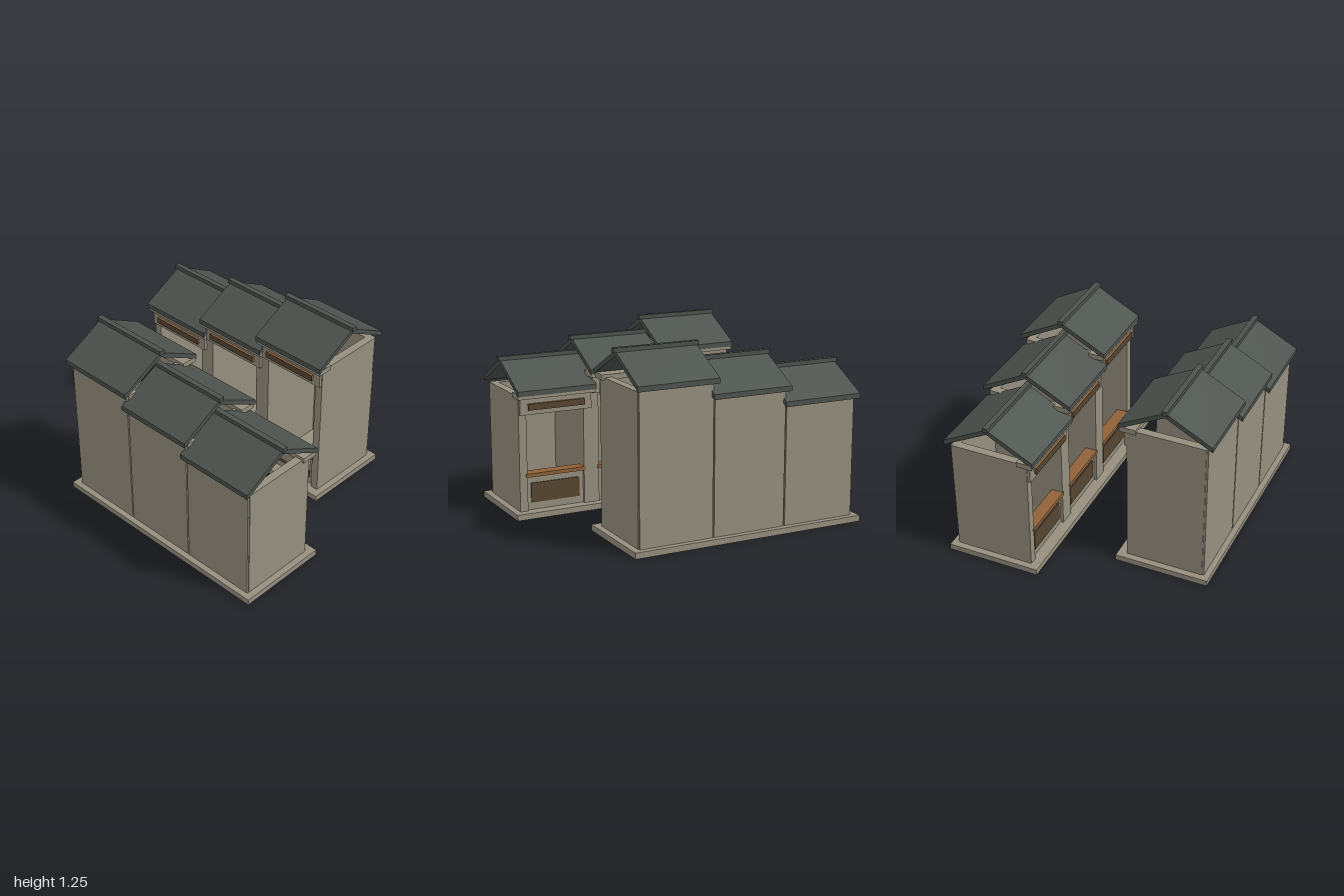
import * as THREE from 'three';

const mat = (name, color) => {
  const m = new THREE.MeshStandardMaterial({ color });
  m.name = name;
  return m;
};

export function createModel() {
  const plaster = mat('plaster', 0x968f7e);
  const tile = mat('roofTile', 0x4c524e);
  const wood = mat('wood', 0x8f6139);
  const darkWood = mat('darkWood', 0x554530);

  // Box given by its limits on each axis
  const box = (parent, name, material, [x0, x1], [y0, y1], [z0, z1]) => {
    const mesh = new THREE.Mesh(new THREE.BoxGeometry(x1 - x0, y1 - y0, z1 - z0), material);
    mesh.position.set((x0 + x1) / 2, (y0 + y1) / 2, (z0 + z1) / 2);
    mesh.name = name;
    parent.add(mesh);
    return mesh;
  };
  const sym = (h) => [-h, h];

  // Two sloping slabs joined at the ridge, open at the gables
  const roofGeometry = (mid, half, eave, ridge, thick, width) => {
    const s = new THREE.Shape();
    s.moveTo(-mid - half, eave);
    s.lineTo(-mid, ridge - thick);
    s.lineTo(-mid + half, eave);
    s.lineTo(-mid + half, eave + thick);
    s.lineTo(-mid, ridge);
    s.lineTo(-mid - half, eave + thick);
    s.closePath();
    const g = new THREE.ExtrudeGeometry(s, { depth: width, bevelEnabled: false });
    g.translate(0, 0, -width / 2);
    g.rotateY(Math.PI / 2);
    return g;
  };

  // One shop, open towards -z; rise lifts its upper parts
  const makeShop = (rise) => {
    const shop = new THREE.Group();
    const top = 0.825 + rise;

    // Walls
    box(shop, 'backWall', plaster, sym(0.255), [0.04, top], [0.75, 0.8]);
    for (const s of [-1, 1]) {
      const xs = s > 0 ? [0.205, 0.26] : [-0.26, -0.205];
      box(shop, 'sideWall', plaster, xs, [0.04, top], [0.26, 0.787]);
    }

    // Counter with its front panel
    box(shop, 'counterWall', plaster, sym(0.205), [0.04, 0.27], [0.28, 0.31]);
    box(shop, 'counterPanel', darkWood, sym(0.175), [0.09, 0.225], [0.272, 0.28]);
    box(shop, 'counterTop', wood, sym(0.215), [0.27, 0.295], [0.255, 0.34]);

    // Lintel, sign board and cornice over the opening
    box(shop, 'lintel', plaster, sym(0.255), [0.7 + rise, 0.82 + rise], [0.24, 0.28]);
    box(shop, 'signBoard', wood, sym(0.2), [0.732 + rise, 0.775 + rise], [0.227, 0.24]);
    box(shop, 'signFace', darkWood, sym(0.2), [0.732 + rise, 0.775 + rise], [0.223, 0.227]);
    box(shop, 'cornice', plaster, sym(0.275), [0.81 + rise, 0.845 + rise], [0.215, 0.325]);

    // Roof
    const roof = new THREE.Mesh(roofGeometry(0.521, 0.313, 0.832, 1.032, 0.034, 0.56), tile);
    roof.name = 'roof';
    roof.position.y = rise;
    shop.add(roof);
    box(shop, 'ridgeBar', tile, sym(0.293), [1.02 + rise, 1.05 + rise], [0.503, 0.539]);
    return shop;
  };

  // A plinth with three shops stepping down
  const makeRow = (name) => {
    const row = new THREE.Group();
    row.name = name;
    box(row, 'plinth', plaster, [-0.65, 1], [0, 0.04], [0.2, 0.84]);
    ['tallShop', 'middleShop', 'lowShop'].forEach((shopName, i) => {
      const shop = makeShop(0.2 - i * 0.1);
      shop.name = shopName;
      shop.position.x = -0.345 + i * 0.52;
      row.add(shop);
    });
    return row;
  };

  // Two rows facing each other across an alley
  const model = new THREE.Group();
  model.name = 'shopRows';
  const back = makeRow('backRow');
  back.rotation.y = Math.PI;
  model.add(makeRow('frontRow'), back);
  return model;
}
